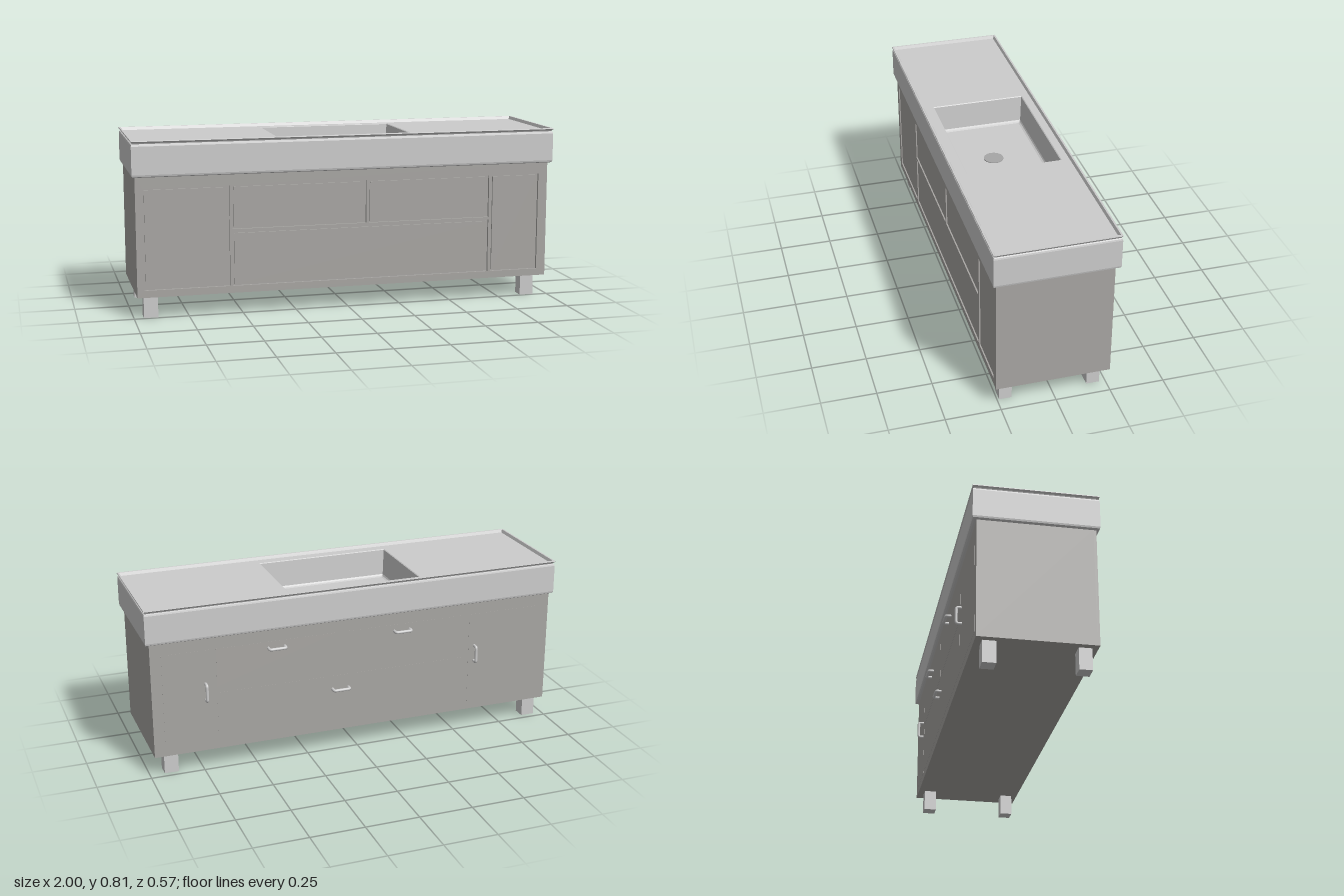
import * as THREE from 'three';

const stone = new THREE.MeshStandardMaterial({ color: 0xcccccc });
stone.name = 'paleGrey';
const wood = new THREE.MeshStandardMaterial({ color: 0xa8a6a3 });
wood.name = 'warmGrey';
const drainGrey = new THREE.MeshStandardMaterial({ color: 0xa6a6a6 });
drainGrey.name = 'drainGrey';

function add(parent, name, geometry, material, x = 0, y = 0, z = 0) {
  const mesh = new THREE.Mesh(geometry, material);
  mesh.name = name;
  mesh.position.set(x, y, z);
  parent.add(mesh);
  return mesh;
}

// Box given by its limits on each axis
function boxBetween(parent, name, material, [x0, x1], [y0, y1], [z0, z1]) {
  return add(parent, name, new THREE.BoxGeometry(x1 - x0, y1 - y0, z1 - z0), material,
    (x0 + x1) / 2, (y0 + y1) / 2, (z0 + z1) / 2);
}

// Skin over a run of horizontal rectangles [x0, x1, z0, z1, y], flat shaded
function loftRectangles(rings) {
  const corners = rings.map(([x0, x1, z0, z1, y]) =>
    [[x0, y, z0], [x0, y, z1], [x1, y, z1], [x1, y, z0]]);
  const points = [];
  for (let i = 0; i + 1 < corners.length; i++) {
    const a = corners[i], b = corners[i + 1];
    for (let k = 0; k < 4; k++) {
      const n = (k + 1) % 4;
      points.push(...a[k], ...a[n], ...b[n], ...a[k], ...b[n], ...b[k]);
    }
  }
  const geometry = new THREE.BufferGeometry();
  geometry.setAttribute('position', new THREE.Float32BufferAttribute(points, 3));
  geometry.computeVertexNormals();
  return geometry;
}

// Bow handle lying along x, reaching out toward -z
function handleGeometry() {
  const v = (x, z) => new THREE.Vector3(x, 0, z);
  const w = 0.039, d = -0.027, r = 0.01;
  const path = new THREE.CurvePath();
  path.add(new THREE.LineCurve3(v(-w, 0.004), v(-w, d + r)));
  path.add(new THREE.QuadraticBezierCurve3(v(-w, d + r), v(-w, d), v(-w + r, d)));
  path.add(new THREE.LineCurve3(v(-w + r, d), v(w - r, d)));
  path.add(new THREE.QuadraticBezierCurve3(v(w - r, d), v(w, d), v(w, d + r)));
  path.add(new THREE.LineCurve3(v(w, d + r), v(w, 0.004)));
  return new THREE.TubeGeometry(path, 40, 0.007, 12);
}

export function createModel() {
  const model = new THREE.Group();
  model.name = 'sinkCabinet';

  // Countertop: body, flared rim, worktop and basin in one skin
  const inset = (d, y) => [-1 + d, 1 - d, -0.272 + d, 0.285 - d, y];
  const basin = (d, y) => [-0.315 + d, 0.32 - d, -0.217 + d, 0.22 - d, y];
  add(model, 'countertop', loftRectangles([
    [0, 0, 0, 0, 0.65],
    inset(0.010, 0.65), inset(0.003, 0.654), inset(0.001, 0.662),
    inset(0.001, 0.79), inset(0.003, 0.797), inset(0.008, 0.80),
    inset(0.006, 0.804), inset(0, 0.811), inset(0.001, 0.815),
    inset(0.009, 0.815), inset(0.015, 0.801),
    basin(-0.004, 0.801), basin(0, 0.798), basin(0.006, 0.675),
    basin(0.010, 0.668), basin(0.018, 0.664),
    [0, 0, 0, 0, 0.664],
  ]), stone);
  add(model, 'drain', new THREE.CylinderGeometry(0.046, 0.046, 0.004, 32), drainGrey, 0.003, 0.666, 0.01);

  // Cabinet body with a face frame cut for each front panel
  const left = -0.985, right = 0.98, bottom = 0.1, top = 0.652;
  boxBetween(model, 'cabinetBody', wood, [left, right], [bottom, top], [-0.252, 0.256]);
  const panels = [
    ['leftDoor', [-0.952, -0.56], [0.133, 0.598]],
    ['upperDrawerLeft', [-0.547, 0.083], [0.397, 0.598]],
    ['upperDrawerRight', [0.095, 0.686], [0.397, 0.598]],
    ['lowerDrawer', [-0.547, 0.686], [0.133, 0.384]],
    ['rightDoor', [0.699, 0.936], [0.133, 0.598]],
  ];
  const rectangle = (path, [x0, x1], [y0, y1]) =>
    path.moveTo(x0, y0).lineTo(x1, y0).lineTo(x1, y1).lineTo(x0, y1).closePath();
  const face = rectangle(new THREE.Shape(), [left, right], [bottom, top]);
  for (const [, xs, ys] of panels) face.holes.push(rectangle(new THREE.Path(), xs, ys));
  add(model, 'faceFrame', new THREE.ExtrudeGeometry(face, { depth: 0.012, bevelEnabled: false }),
    wood, 0, 0, 0.256);

  // Doors and drawers run through to the back, leaving a narrow gap at the front
  const gap = 0.007;
  for (const [name, [x0, x1], [y0, y1]] of panels) {
    boxBetween(model, name, wood, [x0 + gap, x1 - gap], [y0 + gap, y1 - gap], [-0.2526, 0.264]);
  }

  // Handles on the back
  const bow = handleGeometry();
  const handles = [
    ['drawerHandle', -0.22, 0.56, false], ['drawerHandle', 0.395, 0.56, false],
    ['drawerHandle', 0.087, 0.311, false],
    ['doorHandle', -0.597, 0.39, true], ['doorHandle', 0.732, 0.39, true],
  ];
  for (const [name, x, y, upright] of handles) {
    const handle = add(model, name, bow, stone, x, y, -0.251);
    if (upright) handle.rotation.z = Math.PI / 2;
  }

  // Square legs
  for (const xs of [[-0.955, -0.89], [0.866, 0.932]]) {
    for (const zs of [[-0.222, -0.162], [0.183, 0.241]]) {
      boxBetween(model, 'leg', stone, xs, [0, 0.104], zs);
    }
  }
  return model;
}
